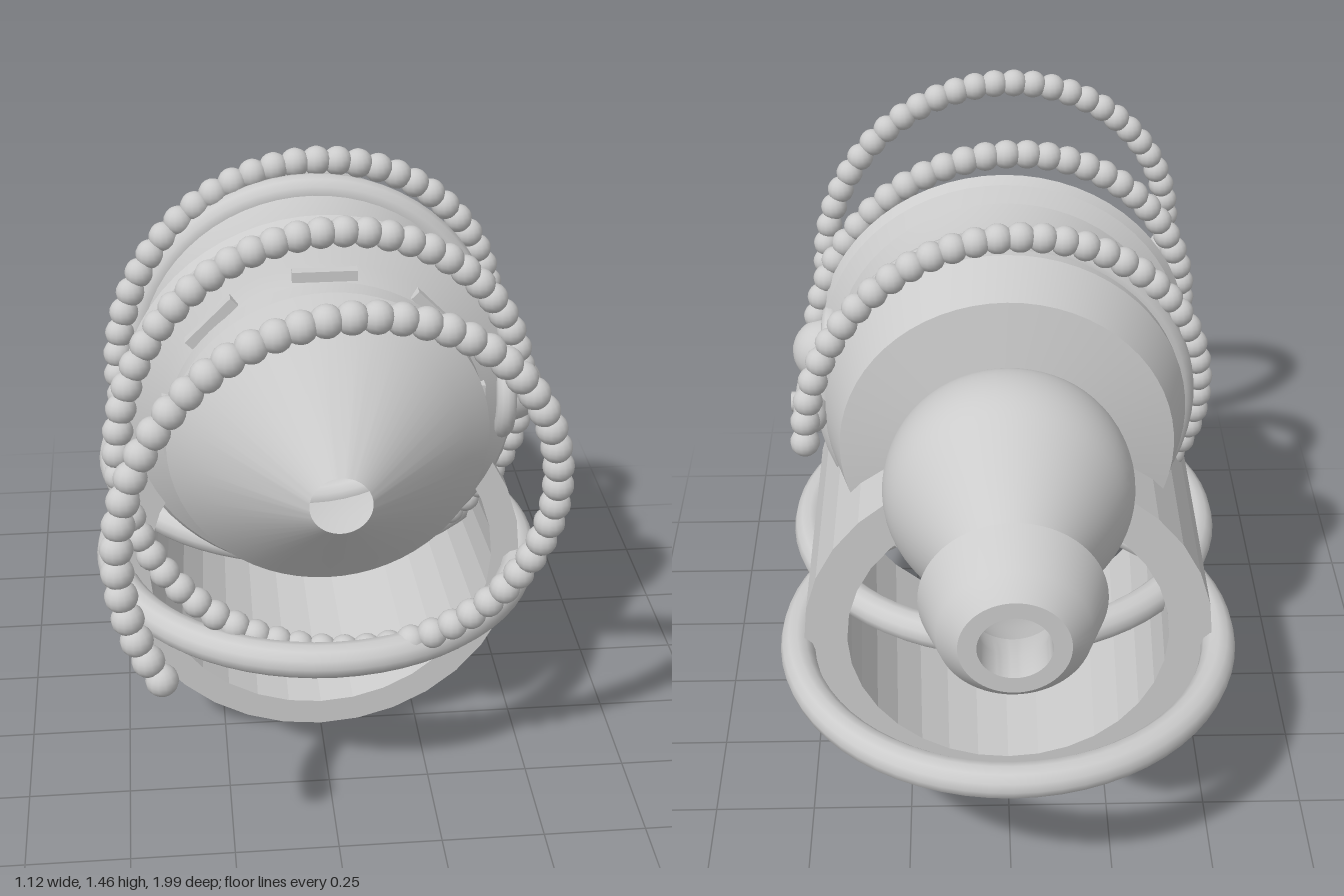
import * as THREE from 'three';
import { toCreasedNormals } from 'three/addons/utils/BufferGeometryUtils.js';

const AXIS_Y = 0.945; // height of the body's long axis
const smooth = new THREE.MeshStandardMaterial({ color: 0xcccccc, side: THREE.DoubleSide });
const flat = new THREE.MeshStandardMaterial({ color: 0xcccccc, side: THREE.DoubleSide, flatShading: true });

export function createModel() {
  const model = new THREE.Group();

  const add = (name, geometry, x, y, z, material = smooth) => {
    const mesh = new THREE.Mesh(geometry, material);
    mesh.name = name;
    mesh.position.set(x, y, z);
    model.add(mesh);
    return mesh;
  };

  // Shell of revolution about z, from [radius, z] points
  const turned = (points, sides = 64) => {
    const profile = points.map(([r, z]) => new THREE.Vector2(r, z));
    return new THREE.LatheGeometry(profile, sides).rotateX(Math.PI / 2);
  };

  // Nose cone with open tip, grooved neck, collar and barrel
  const body = turned([
    [0.07, 0.735], [0.315, 0.495], [0.375, 0.44], [0.375, 0.385], [0.34, 0.35], [0.355, 0.335],
    [0.39, 0.31], [0.465, 0.26], [0.478, 0.24], [0.465, 0.21], [0.43, 0.18], [0.425, 0.1],
    [0.43, 0], [0.442, -0.11], [0.40, -0.26], [0.23, -0.29],
  ]);
  add('body', toCreasedNormals(body, 0.35), 0, AXIS_Y, 0);
  add('barrelRing', new THREE.TorusGeometry(0.43, 0.04, 12, 64), 0, AXIS_Y, -0.04);

  // Rounded rear bulb tapering to a narrow neck
  const bulbCurve = new THREE.SplineCurve([
    [0.23, -0.28], [0.275, -0.34], [0.293, -0.42], [0.283, -0.5], [0.24, -0.59], [0.165, -0.72], [0.1, -0.85],
  ].map(([r, z]) => new THREE.Vector2(r, z)));
  add('rearBulb', turned(bulbCurve.getPoints(24).map(p => [p.x, p.y])), 0, AXIS_Y, 0);

  // Flared hollow end cap
  const cap = turned([
    [0.1, -0.85], [0.17, -0.845], [0.205, -0.84], [0.165, -0.955], [0.12, -1],
    [0.08, -1], [0.08, -0.93], [0.1, -0.85],
  ]);
  add('endCap', toCreasedNormals(cap, 0.5), 0, AXIS_Y, 0);

  // Raised tabs around the neck
  for (let i = 0; i < 8; i++) {
    const a = i * Math.PI / 4;
    const tab = add('neckTab', new THREE.BoxGeometry(0.025, 0.15, 0.04),
      0.368 * Math.cos(a), AXIS_Y + 0.368 * Math.sin(a), 0.32);
    tab.rotation.z = a;
  }

  // Faceted tubular base, bore tapering towards the back
  const base = turned([
    [0.5, 0.265], [0.5, -0.43], [0.395, -0.43], [0.43, 0.265], [0.5, 0.265],
  ], 32);
  add('tubeBase', base, 0, 0.5, 0, flat);

  // Two overlapping horizontal hoops
  for (const z of [0.12, -0.375]) {
    const hoop = new THREE.TorusGeometry(0.52, 0.042, 12, 64).rotateX(Math.PI / 2);
    add('hoop', hoop, 0, 0.47, z);
  }

  // Beaded cord spiralling round the body
  const cord = new THREE.Group();
  cord.name = 'beadedCord';
  const bead = new THREE.SphereGeometry(0.036, 14, 10);
  const count = 150, start = 214, end = -720;
  for (let i = 0; i < count; i++) {
    const degrees = start + (end - start) * i / (count - 1);
    const a = THREE.MathUtils.degToRad(degrees);
    const mesh = new THREE.Mesh(bead, smooth);
    mesh.name = 'bead';
    mesh.position.set(0.486 * Math.cos(a), 0.94 + 0.486 * Math.sin(a), 0.8 + 0.45 * (degrees - 90) / 360);
    cord.add(mesh);
  }
  model.add(cord);

  // Side knob in its ring, and a toggle on the barrel ring
  add('knobRing', new THREE.TorusGeometry(0.1, 0.025, 12, 40).rotateY(Math.PI / 2), 0.44, AXIS_Y, 0.205);
  add('knob', new THREE.SphereGeometry(0.085, 24, 16), 0.46, AXIS_Y, 0.205);
  add('toggle', new THREE.CapsuleGeometry(0.043, 0.125, 8, 20).rotateX(Math.PI / 2), 0.48, AXIS_Y, -0.045);
  add('toggleStud', new THREE.CylinderGeometry(0.025, 0.025, 0.06, 20).rotateZ(Math.PI / 2), 0.5, AXIS_Y, -0.04);

  return model;
}
